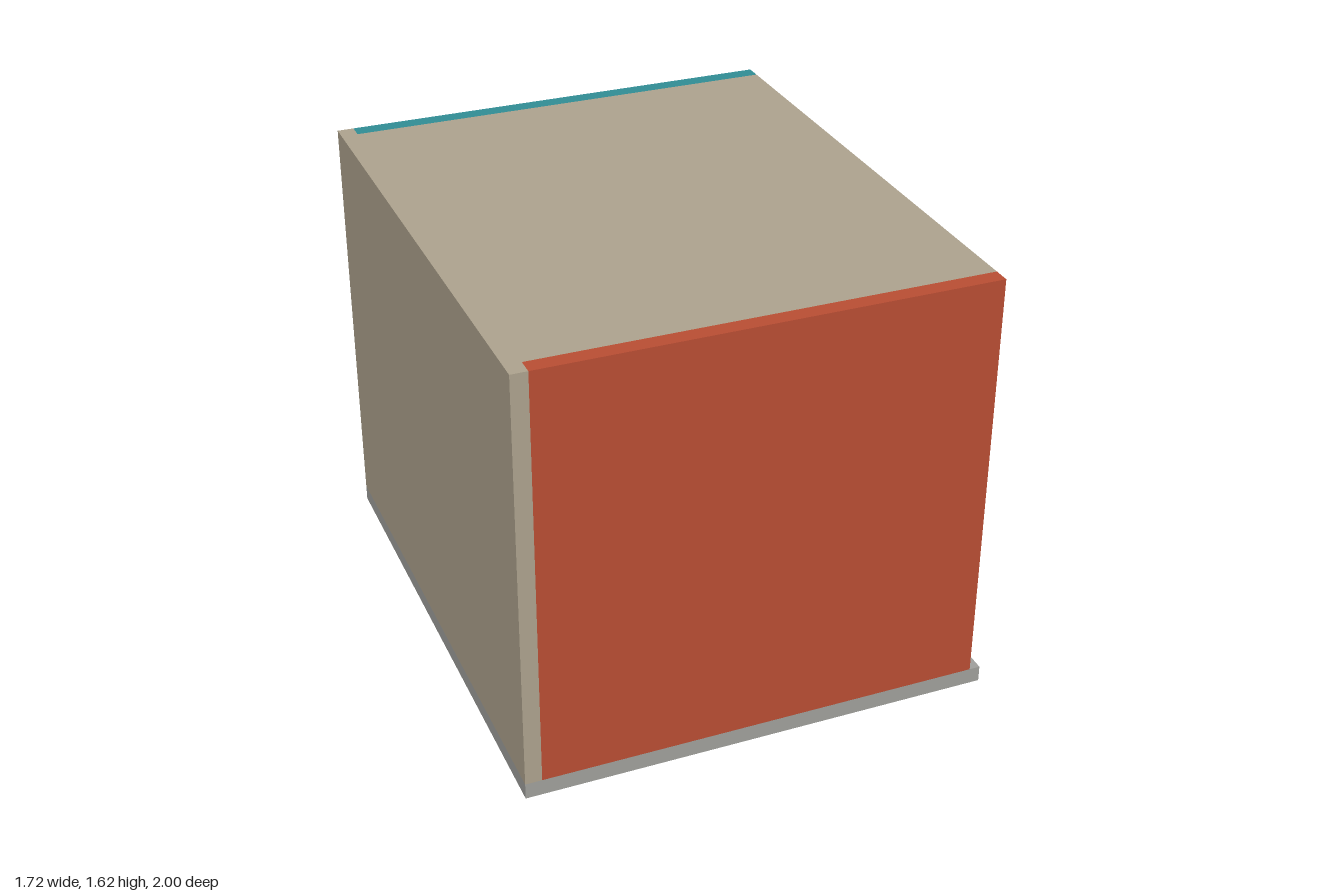
import * as THREE from 'three';
import { RoundedBoxGeometry } from 'three/addons/geometries/RoundedBoxGeometry.js';

const material = (name, color) => {
  const m = new THREE.MeshStandardMaterial({ color });
  m.name = name;
  return m;
};

export function createModel() {
  const model = new THREE.Group();
  model.name = 'openRoom';

  const beige = material('beige', 0xb0a590);
  const grey = material('grey', 0xa2a29e);
  const red = material('red', 0xbc4f34);
  const teal = material('teal', 0x328f97);
  const charcoal = material('charcoal', 0x484752);
  const gold = material('gold', 0xcf9f5a);
  const blue = material('blue', 0x3a6ebc);

  const add = (name, geometry, mat, x, y, z) => {
    const mesh = new THREE.Mesh(geometry, mat);
    mesh.name = name;
    mesh.position.set(x, y, z);
    model.add(mesh);
    return mesh;
  };

  // Box given by its limits on each axis, with optional rounded edges
  const box = (name, mat, [x0, x1], [y0, y1], [z0, z1], radius = 0) => {
    const size = [x1 - x0, y1 - y0, z1 - z0];
    const geometry = radius
      ? new RoundedBoxGeometry(...size, 3, radius)
      : new THREE.BoxGeometry(...size);
    return add(name, geometry, mat, (x0 + x1) / 2, (y0 + y1) / 2, (z0 + z1) / 2);
  };

  // Room shell, open on the +x side
  box('floor', grey, [-0.86, 0.86], [0, 0.06], [-1, 1]);
  box('rearWall', beige, [-0.86, -0.8], [0.06, 1.62], [-1, 1]);
  box('redWall', red, [-0.8, 0.82], [0.06, 1.62], [0.94, 1]);
  box('tealWall', teal, [-0.8, 0.82], [0.06, 1.62], [-1, -0.94]);
  box('ceiling', beige, [-0.8, 0.82], [1.56, 1.62], [-0.94, 0.94]);

  // Vertical slats on the rear wall
  for (let i = -2; i <= 2; i++) {
    const z = i * 0.348;
    box('wallSlat', beige, [-0.81, -0.77], [0.15, 1.47], [z - 0.053, z + 0.053], 0.01);
  }

  // Dark panels hanging in the upper corners of the opening
  box('frontHangingPanel', charcoal, [0.45, 0.5], [0.83, 1.56], [0.635, 0.94], 0.01);
  box('backHangingPanel', charcoal, [0.45, 0.5], [0.91, 1.56], [-0.94, -0.65], 0.01);

  // Low plinths
  box('frontPlinth', beige, [-0.11, 0.53], [0.06, 0.18], [0.145, 0.7], 0.015);
  box('backPlinth', beige, [-0.2, 0.3], [0.06, 0.19], [-0.755, -0.125], 0.015);

  // Ball, and the egg with a smaller ball on top
  add('goldBall', new THREE.SphereGeometry(0.265, 48, 32), gold, 0.21, 0.447, 0.425);
  const egg = add('blueEgg', new THREE.SphereGeometry(0.25, 48, 32), blue, 0.05, 0.445, -0.455);
  egg.scale.set(0.74, 1, 0.74);
  add('topBall', new THREE.SphereGeometry(0.15, 40, 24), beige, 0.05, 0.825, -0.445);

  // Ring mounted on the rear wall
  const ring = add('wallRing', new THREE.TorusGeometry(0.248, 0.065, 24, 64), gold, -0.71, 1.1, -0.01);
  ring.rotation.y = Math.PI / 2;

  return model;
}
